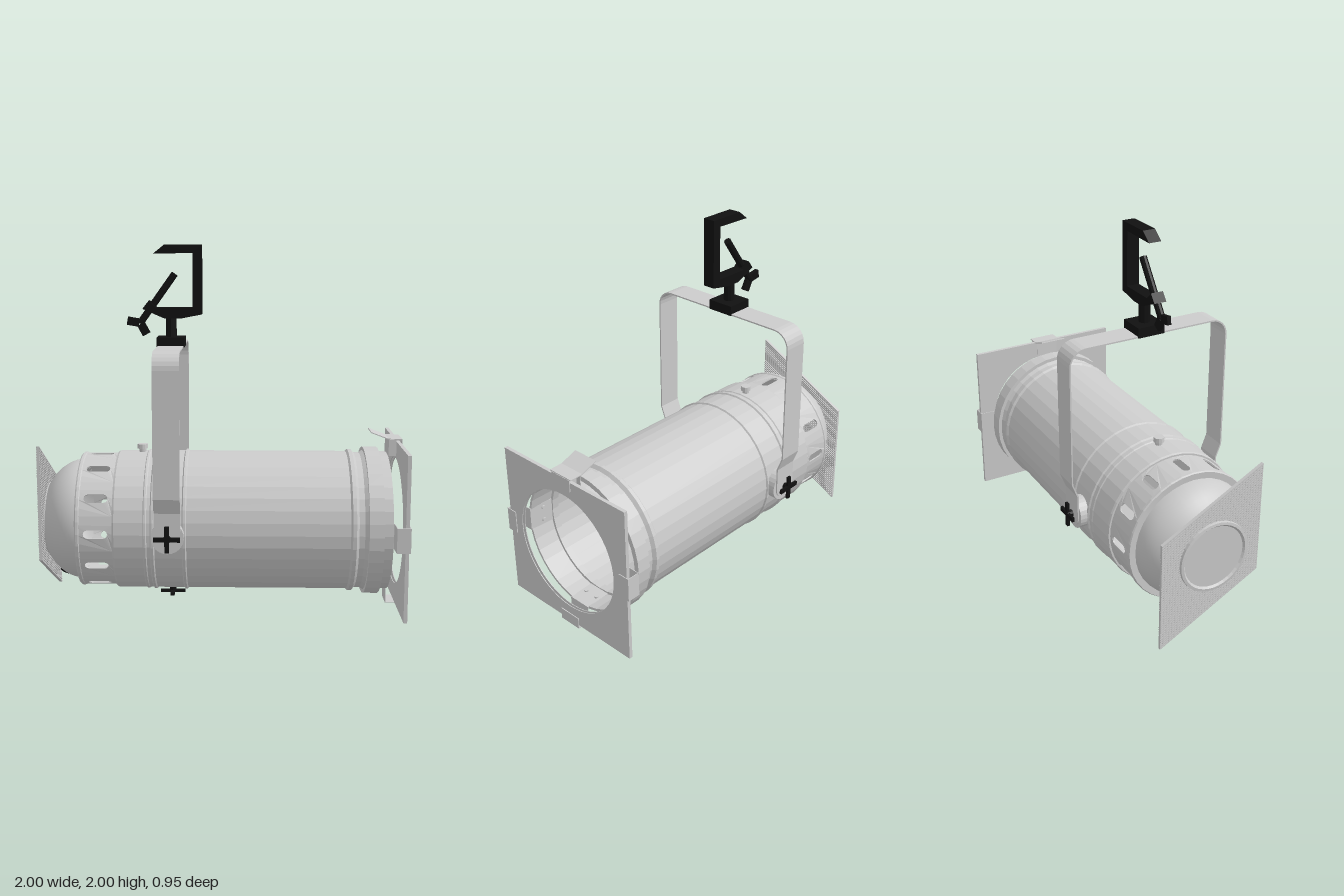
import * as THREE from 'three';
import { mergeGeometries } from 'three/addons/utils/BufferGeometryUtils.js';

const AXIS_Y = 0.475; // height of the barrel axis
const grey = new THREE.MeshStandardMaterial({ color: 0xcccccc, flatShading: true, side: THREE.DoubleSide });
const smoothGrey = new THREE.MeshStandardMaterial({ color: 0xcccccc, side: THREE.DoubleSide });
const black = new THREE.MeshStandardMaterial({ color: 0x111111, flatShading: true });

function add(parent, name, geo, mat = grey, x = 0, y = 0, z = 0) {
  const m = new THREE.Mesh(geo, mat);
  m.name = name;
  m.position.set(x, y, z);
  parent.add(m);
  return m;
}

// Revolves a profile of [x, radius] points about the x axis
function turned(points, segments = 36) {
  return new THREE.LatheGeometry(points.map(([x, r]) => new THREE.Vector2(r, x)), segments).rotateZ(-Math.PI / 2);
}

// Flat metal strip bent along a path in the xy plane, with its width along z
function strap(path, width, thick) {
  const n = path.length - 1;
  const geo = new THREE.BoxGeometry(thick, 1, width, 1, n, 1);
  const pos = geo.attributes.position;
  const p = path.map(([x, y]) => new THREE.Vector2(x, y));
  for (let i = 0; i < pos.count; i++) {
    const k = Math.round((pos.getY(i) + 0.5) * n);
    const a = p[Math.max(k - 1, 0)], b = p[k], c = p[Math.min(k + 1, n)];
    const d1 = b.clone().sub(a).normalize(), d2 = c.clone().sub(b).normalize();
    const t = d1.add(d2).normalize();
    const o = pos.getX(i);
    pos.setXY(i, b.x + t.y * o, b.y - t.x * o);
  }
  return geo;
}

// Ring of panels, each with one slot, bent round the x axis
function slottedBand(x0, x1, radius, count) {
  const step = (2 * Math.PI) / count, h = step / 2, sub = 4;
  const outline = [];
  for (let i = 0; i <= sub; i++) outline.push(new THREE.Vector2(x0, h - (i * step) / sub));
  for (let i = 0; i <= sub; i++) outline.push(new THREE.Vector2(x1, -h + (i * step) / sub));
  const shape = new THREE.Shape(outline);
  const hole = [], s = 0.023;
  for (const [cx, start] of [[-0.623, -Math.PI / 2], [-0.707, Math.PI / 2]])
    for (let i = 0; i <= 6; i++) {
      const a = start + (i * Math.PI) / 6;
      hole.push(new THREE.Vector2(cx + s * Math.cos(a), (s * Math.sin(a)) / radius));
    }
  shape.holes.push(new THREE.Path(hole));
  const panel = new THREE.ExtrudeGeometry(shape, { depth: 0.008, bevelEnabled: false });
  const pos = panel.attributes.position;
  for (let i = 0; i < pos.count; i++) {
    const a = pos.getY(i), r = radius - 0.008 + pos.getZ(i);
    pos.setXYZ(i, pos.getX(i), r * Math.sin(a), r * Math.cos(a));
  }
  const panels = [];
  for (let i = 0; i < count; i++) panels.push(panel.clone().rotateX(i * step));
  return mergeGeometries(panels);
}

// Four-armed hand knob pointing along +z
function crossKnob() {
  const g = new THREE.Group();
  add(g, 'knobStem', new THREE.CylinderGeometry(0.02, 0.02, 0.05, 10).rotateX(Math.PI / 2), black, 0, 0, 0.01);
  for (let i = 0; i < 2; i++)
    add(g, 'knobArm', new THREE.BoxGeometry(0.14, 0.024, 0.014), black, 0, 0, 0.03).rotation.z = (i * Math.PI) / 2;
  return g;
}

function buildBarrel() {
  const g = new THREE.Group();
  g.name = 'barrel';
  add(g, 'mainTube', turned([
    [-0.575, 0.365], [-0.575, 0.38], [-0.565, 0.385], [-0.41, 0.385], [-0.405, 0.39], [-0.395, 0.39], [-0.39, 0.385],
    [0.695, 0.385], [0.705, 0.396], [0.725, 0.396], [0.74, 0.378], [0.77, 0.378], [0.79, 0.39], [0.79, 0.41],
    [0.87, 0.41], [0.872, 0.384], [0.92, 0.384], [0.92, 0.37], [0.78, 0.37], [0.78, 0.355], [0.74, 0.355],
    [0.74, 0.372], [-0.575, 0.372]]));
  for (const x of [-0.36, -0.19]) add(g, 'bandRidge', turned([[x - 0.012, 0.385], [x - 0.006, 0.393], [x + 0.006, 0.393], [x + 0.012, 0.385]]));
  add(g, 'ventBand', slottedBand(-0.775, -0.575, 0.37, 12));
  add(g, 'ventRim', turned([[-0.775, 0.33], [-0.777, 0.37], [-0.77, 0.375], [-0.757, 0.375], [-0.752, 0.37]]));

  // Rear dome with its flat end
  const dome = [];
  for (let i = 0; i <= 9; i++) {
    const a = (i / 9) * 0.92;
    dome.push([-0.77 - 0.243 * Math.sin(a), 0.335 * Math.cos(a)]);
  }
  add(g, 'rearDome', turned(dome), smoothGrey);
  add(g, 'domeEnd', turned([[-0.955, 0.205], [-0.998, 0.2], [-1, 0.185], [-0.99, 0.175], [-0.99, 0]]));

  // Convex lens inside the mouth
  const lens = [];
  for (let i = 0; i <= 8; i++) {
    const a = (i / 8) * 1.2;
    lens.push([0.38 + 0.3 * (Math.cos(a) - 0.36), (0.372 * Math.sin(a)) / Math.sin(1.2)]);
  }
  add(g, 'lens', turned(lens), smoothGrey);
  add(g, 'lampSocket', new THREE.CylinderGeometry(0.04, 0.04, 0.2, 12).rotateZ(Math.PI / 2), grey, -0.68);

  // Small fittings
  add(g, 'topScrewStem', new THREE.CylinderGeometry(0.02, 0.02, 0.04, 12), grey, -0.44, 0.39, 0);
  add(g, 'topScrewHead', new THREE.CylinderGeometry(0.028, 0.03, 0.025, 12), grey, -0.44, 0.415, 0);
  add(g, 'cableGland', new THREE.CylinderGeometry(0.035, 0.035, 0.06, 10), black, -0.875, -0.285, 0).rotation.z = -0.4;
  g.position.y = AXIS_Y;
  return g;
}

function buildFilterHolder() {
  const g = new THREE.Group();
  g.name = 'filterHolder';
  // Folded square frame made of two thin sheets
  const shape = new THREE.Shape([[-0.45, -0.45], [0.45, -0.45], [0.45, 0.45], [-0.45, 0.45]].map(([x, y]) => new THREE.Vector2(x, y)));
  shape.holes.push(new THREE.Path().absarc(0, 0, 0.355, 0, Math.PI * 2, true));
  const sheet = new THREE.ExtrudeGeometry(shape, { depth: 0.004, bevelEnabled: false, curveSegments: 24 }).rotateY(Math.PI / 2);
  for (const x of [0.972, 0.988]) add(g, 'frameSheet', sheet, grey, x);
  for (let i = 0; i < 4; i++)
    add(g, 'frameFold', new THREE.BoxGeometry(0.02, 0.006, 0.9), grey, 0.982, 0.447).geometry.rotateX(0).translate(0, 0, 0);
  g.children.filter((m) => m.name === 'frameFold').forEach((m, i) => {
    m.rotation.x = (i * Math.PI) / 2;
    m.position.set(0.982, 0.447 * Math.cos(m.rotation.x), 0.447 * Math.sin(m.rotation.x));
  });

  // Clips on four sides, the top one with a flared thumb tab
  for (let i = 0; i < 4; i++) {
    const clip = new THREE.Group();
    clip.name = 'frameClip';
    clip.rotation.x = (i * Math.PI) / 2;
    add(clip, 'clipStrap', strap([[0.75, 0.362], [0.925, 0.367], [0.927, 0.465], [0.997, 0.465], [0.997, 0.4]], 0.135, 0.005));
    for (const z of [-0.04, 0.04]) add(clip, 'clipRivet', new THREE.CylinderGeometry(0.012, 0.012, 0.012, 10), grey, 0.84, 0.36, z);
    if (i === 0) {
      add(clip, 'thumbTab', strap([[0.825, 0.508], [0.92, 0.472], [0.997, 0.47]], 0.155, 0.005));
      add(clip, 'tabBlock', new THREE.BoxGeometry(0.045, 0.1, 0.08), grey, 0.948, 0.42);
    }
    g.add(clip);
  }
  g.position.y = AXIS_Y;
  return g;
}

// Skewed wire mesh panel at the rear
function buildMesh() {
  const parts = [new THREE.BoxGeometry(0.008, 0.63, 0.585)];
  for (let i = 0; i < 45; i++) parts.push(new THREE.BoxGeometry(0.018, 0.007, 0.585).translate(0, -0.3115 + (i * 0.623) / 44, 0));
  for (let i = 0; i < 36; i++) parts.push(new THREE.BoxGeometry(0.014, 0.63, 0.006).translate(0, 0, -0.2895 + (i * 0.579) / 35));
  const geo = mergeGeometries(parts);
  const pos = geo.attributes.position;
  for (let i = 0; i < pos.count; i++) pos.setY(i, pos.getY(i) + 0.52 * pos.getZ(i));
  return geo;
}

function buildYoke() {
  const g = new THREE.Group();
  g.name = 'yoke';
  const half = [[0.437, 0.475], [0.437, 0.61], [0.468, 0.69]];
  for (let i = 0; i <= 6; i++) {
    const a = (i / 6) * (Math.PI / 2);
    half.push([0.378 + 0.09 * Math.cos(a), 1.362 + 0.09 * Math.sin(a)]);
  }
  const path = [...half, ...half.map(([z, y]) => [-z, y]).reverse()];
  add(g, 'yokeStrap', strap(path, 0.14, 0.008).rotateY(Math.PI / 2), grey, -0.275);
  for (const s of [1, -1]) {
    const round = (r, d) => new THREE.CylinderGeometry(r, r, d, 24).rotateX(Math.PI / 2);
    add(g, 'yokeEnd', round(0.07, 0.008), grey, -0.275, AXIS_Y, s * 0.437);
    add(g, 'pivotBoss', round(0.088, 0.06), grey, -0.275, AXIS_Y, s * 0.4);
    add(g, 'yokeRivet', new THREE.CylinderGeometry(0.03, 0.03, 0.014, 14), grey, -0.275, 1.444, s * 0.2);
    const knob = crossKnob();
    knob.name = 'tiltKnob';
    knob.position.set(-0.275, AXIS_Y, s * 0.438);
    if (s < 0) knob.rotation.y = Math.PI;
    g.add(knob);
  }
  const lower = crossKnob();
  lower.name = 'lowerKnob';
  lower.position.set(-0.275, 0.08, 0);
  lower.rotation.x = Math.PI / 2;
  g.add(lower);
  return g;
}

function buildClamp() {
  const g = new THREE.Group();
  g.name = 'hookClamp';
  add(g, 'clampBase', new THREE.BoxGeometry(0.15, 0.055, 0.155), black, -0.275, 1.475);
  add(g, 'clampStem', new THREE.CylinderGeometry(0.03, 0.03, 0.13, 12), black, -0.275, 1.56);
  const outline = [[-0.37, 1.952], [-0.31, 2], [-0.105, 2], [-0.105, 1.625], [-0.22, 1.603], [-0.31, 1.603],
    [-0.43, 1.655], [-0.395, 1.7], [-0.355, 1.662], [-0.155, 1.662], [-0.155, 1.957]];
  const shape = new THREE.Shape(outline.map(([x, y]) => new THREE.Vector2(x, y)));
  add(g, 'clampJaw', new THREE.ExtrudeGeometry(shape, { depth: 0.07, bevelEnabled: false }), black, 0, 0, -0.035);
  // Slanted bolt with its wing handle
  const bolt = new THREE.Group();
  bolt.name = 'clampBolt';
  bolt.position.set(-0.35, 1.71, 0);
  bolt.rotation.z = -0.62;
  add(bolt, 'boltShaft', new THREE.CylinderGeometry(0.02, 0.02, 0.33, 10), black);
  for (const s of [1, -1]) add(bolt, 'boltWing', new THREE.BoxGeometry(0.065, 0.045, 0.022), black, s * 0.035, -0.18, 0).rotation.z = s * -0.45;
  g.add(bolt);
  return g;
}

export function createModel() {
  const model = new THREE.Group();
  model.name = 'stageSpotlight';
  model.add(buildBarrel(), buildFilterHolder(), buildYoke(), buildClamp());
  add(model, 'rearMesh', buildMesh(), grey, -0.976, 0.468, -0.013);
  return model;
}
